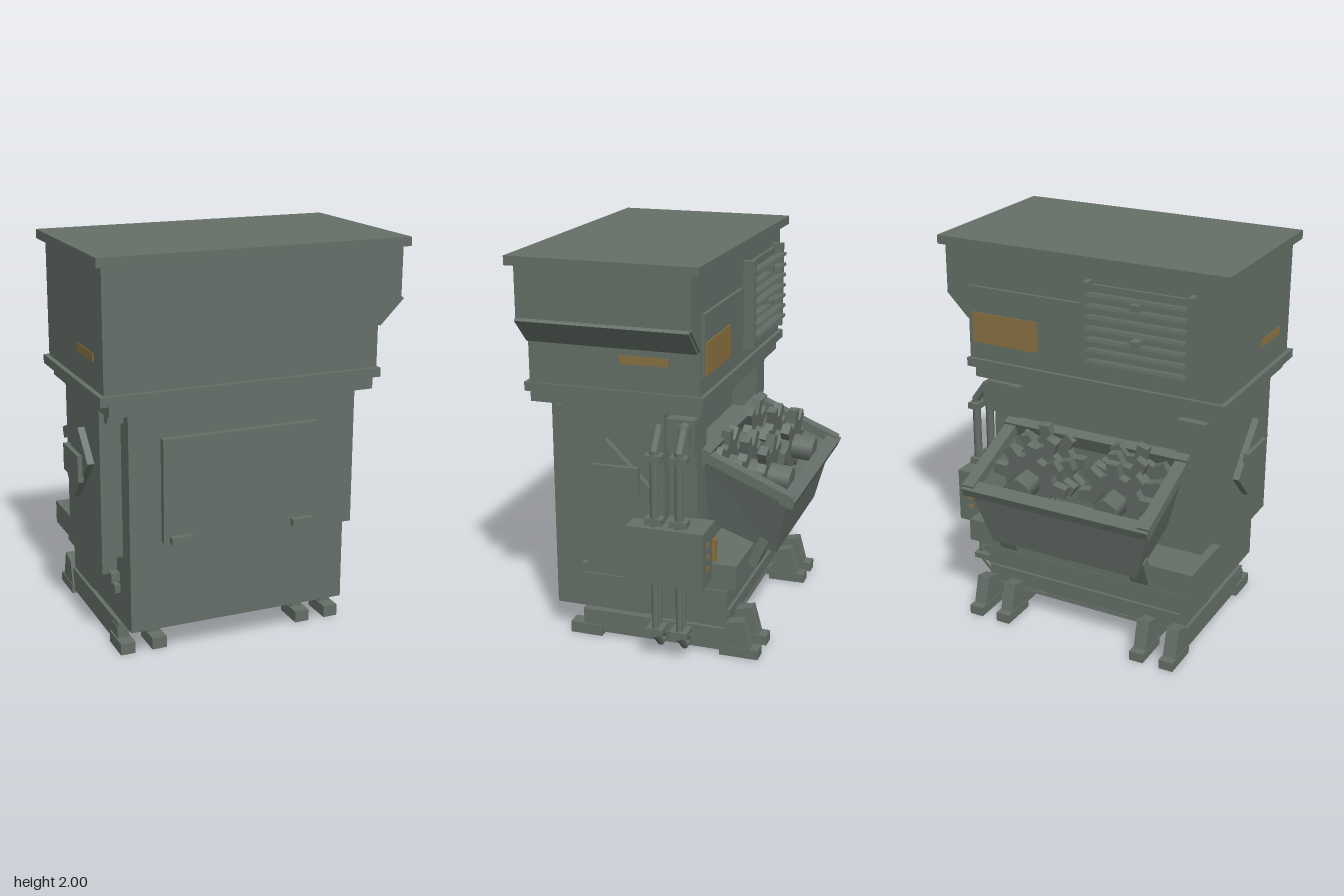
import * as THREE from 'three';

const metal = new THREE.MeshStandardMaterial({ color: 0x646e67 });
metal.name = 'grey green metal';
const metalShell = new THREE.MeshStandardMaterial({ color: 0x646e67, side: THREE.DoubleSide });
metalShell.name = 'grey green sheet';
const ochre = new THREE.MeshStandardMaterial({ color: 0x8a7140 });
ochre.name = 'ochre marking';

const CX = -0.06; // symmetry plane of the lower machine

export function createModel() {
  const root = new THREE.Group();
  root.name = 'shredderMachine';

  const add = (name, geo, mat = metal) => {
    const m = new THREE.Mesh(geo, mat);
    m.name = name;
    root.add(m);
    return m;
  };
  // box given by its limits
  const box = (name, x0, x1, y0, y1, z0, z1, mat) => {
    const m = add(name, new THREE.BoxGeometry(x1 - x0, y1 - y0, z1 - z0), mat);
    m.position.set((x0 + x1) / 2, (y0 + y1) / 2, (z0 + z1) / 2);
    return m;
  };
  // side profile of [z, y] points extruded along x
  const prism = (name, pts, x0, x1) => {
    const s = new THREE.Shape(pts.map(p => new THREE.Vector2(p[0], p[1])));
    const g = new THREE.ExtrudeGeometry(s, { depth: x1 - x0, bevelEnabled: false });
    g.rotateY(-Math.PI / 2).translate(x1, 0, 0);
    return add(name, g);
  };
  // straight pipe pieces along a path
  const pipe = (name, pts, r) => {
    for (let i = 0; i + 1 < pts.length; i++) {
      const a = new THREE.Vector3(...pts[i]), b = new THREE.Vector3(...pts[i + 1]);
      const d = b.clone().sub(a);
      const m = add(name, new THREE.CylinderGeometry(r, r, d.length() + r * 0.5, 8));
      m.position.copy(a).add(b).multiplyScalar(0.5);
      m.quaternion.setFromUnitVectors(new THREE.Vector3(0, 1, 0), d.normalize());
    }
  };

  // upper housing with undercut on one side
  const head = new THREE.Shape([[-0.76, 1.36], [0.645, 1.36], [0.645, 1.58], [0.77, 1.70], [0.77, 1.96], [-0.76, 1.96]]
    .map(p => new THREE.Vector2(...p)));
  add('upperHousing', new THREE.ExtrudeGeometry(head, { depth: 0.865, bevelEnabled: false }).translate(0, 0, -0.245));
  const under = box('undercutPlate', 0.626, 0.802, 1.63, 1.648, -0.235, 0.622);
  under.rotation.z = Math.PI / 4;
  box('lid', -0.795, 0.79, 1.955, 2, -0.285, 0.66);
  box('upperFlange', -0.785, 0.655, 1.32, 1.365, -0.265, 0.645);
  box('lowerFlange', -0.74, 0.62, 1.26, 1.32, -0.24, 0.63);
  box('sideStripLeft', 0.64, 0.649, 1.495, 1.535, -0.09, 0.155, ochre);
  box('sideStripRight', -0.764, -0.755, 1.495, 1.535, 0.24, 0.485, ochre);

  // rear vent and access panel
  box('ventBacking', -0.61, -0.06, 1.45, 1.86, -0.262, -0.24);
  for (const x of [-0.625, -0.075]) box('ventPost', x, x + 0.03, 1.43, 1.88, -0.305, -0.24);
  for (let i = 0; i < 7; i++) {
    const y = 1.485 + i * 0.056;
    box('ventSlat', -0.6, -0.07, y - 0.008, y + 0.008, -0.325, -0.255).rotation.x = 0.2;
  }
  box('ventCatch', -0.36, -0.31, 1.6, 1.63, -0.325, -0.25);
  box('ventCatch', -0.36, -0.31, 1.78, 1.81, -0.325, -0.25);
  box('rearPanel', 0.0, 0.63, 1.45, 1.755, -0.262, -0.24);
  box('rearPlate', 0.235, 0.61, 1.46, 1.62, -0.268, -0.26, ochre);

  // main body
  box('frontCabinet', -0.63, 0.51, 0.15, 1.26, -0.05, 0.57);
  box('rearBase', -0.63, 0.51, 0.13, 0.51, -0.34, 0);
  box('sideBody', -0.735, 0.615, 0.51, 1.26, -0.055, 0.465);
  box('shelf', -0.705, 0.585, 0.39, 0.51, -0.41, 0.37);
  box('shelfLip', -0.675, 0.55, 0.36, 0.405, -0.37, 0.415);
  box('sideRail', -0.66, 0.53, 0.302, 0.345, -0.35, 0.42);
  box('rearRail', -0.62, 0.5, 0.2, 0.235, -0.355, -0.3);
  box('basePlate', -0.645, 0.53, 0.12, 0.14, -0.345, 0.42);
  box('rearWall', -0.6, 0.48, 0.5, 0.98, -0.195, -0.04);
  for (const s of [-1, 1]) {
    const a = CX + s * 0.45, b = CX + s * 0.6;
    box('rearPost', Math.min(a, b), Math.max(a, b), 0.5, 1.22, -0.195, -0.04);
    const c = CX + s * 0.56, d = CX + s * 0.65;
    box('cornerTab', Math.min(c, d), Math.max(c, d), 1.195, 1.245, 0.4, 0.51);
    // tilted side plate with a small cover
    const plate = box('diamondPlate', -0.0175, 0.0175, -0.1025, 0.1025, -0.172, 0.172);
    plate.position.set(CX + s * 0.692, 0.92, 0.187);
    plate.rotation.x = -Math.PI / 4;
    const cover = box('sideCover', -0.015, 0.015, -0.068, 0.068, -0.118, 0.118);
    cover.position.set(CX + s * 0.717, 0.92, 0.178);
  }

  // front door and hinges
  box('frontDoor', -0.47, 0.345, 0.6, 1.12, 0.56, 0.605);
  for (const x of [-0.44, 0.2]) box('doorHinge', x, x + 0.11, 0.6, 0.635, 0.6, 0.635);

  // skids and feet
  for (const s of [-1, 1]) for (const o of [0.395, 0.56]) {
    const x = CX + s * o, w = 0.038;
    box('frontFoot', x - w, x + w, 0, 0.06, 0.32, 0.49);
    box('frontFootBlock', x - 0.03, x + 0.03, 0.05, 0.12, 0.32, 0.42);
    box('skid', x - 0.025, x + 0.025, 0.02, 0.125, -0.35, 0.4);
    box('rearFoot', x - w, x + w, 0, 0.05, -0.51, -0.31);
    prism('rearLeg', [[-0.47, 0.045], [-0.31, 0.045], [-0.345, 0.175], [-0.43, 0.195]], x - 0.034, x + 0.034);
  }
  // sloped belly with ribs
  prism('belly', [[0.4, 0.13], [-0.35, 0.13], [0.09, 0.012]], -0.42, 0.295);
  for (const x of [-0.325, 0.16]) prism('bellyRib', [[0.44, 0.14], [-0.35, 0.14], [0.09, 0.004]], x, x + 0.05);

  // feed hopper: four flared walls and a floor
  const top = [[-0.56, 0.985, -0.19], [0.435, 0.985, -0.19], [0.435, 0.8, -0.615], [-0.56, 0.8, -0.615]];
  const bottom = [[-0.47, 0.63, -0.19], [0.35, 0.63, -0.19], [0.35, 0.505, -0.545], [-0.47, 0.505, -0.545]];
  const pos = [];
  const quad = (a, b, c, d) => pos.push(...a, ...b, ...c, ...a, ...c, ...d);
  for (let i = 0; i < 4; i++) {
    const j = (i + 1) % 4;
    quad(top[i], top[j], bottom[j], bottom[i]);
  }
  quad(...bottom);
  const shell = new THREE.BufferGeometry();
  shell.setAttribute('position', new THREE.Float32BufferAttribute(pos, 3));
  shell.computeVertexNormals();
  add('hopperWalls', shell, metalShell);
  // hopper rim
  const tilt = -0.395;
  for (const x of [-0.552, 0.425]) {
    const m = box('hopperSideRim', -0.032, 0.032, -0.024, 0.024, -0.25, 0.25);
    m.position.set(x, 0.92, -0.412);
    m.rotation.x = tilt;
  }
  const lip = box('hopperOuterRim', -0.5175, 0.5175, -0.024, 0.024, -0.035, 0.035);
  lip.position.set(-0.0625, 0.82, -0.622);
  lip.rotation.x = tilt;
  box('hopperInnerRim', -0.585, 0.46, 0.965, 1.045, -0.225, -0.17).rotation.x = tilt;
  for (const s of [-1, 1]) {
    const m = box('hopperLeg', -0.05, 0.05, -0.08, 0.08, -0.025, 0.025);
    m.position.set(CX + s * 0.38, 0.5, -0.455);
    m.rotation.x = -0.4;
  }

  // toothed shredder discs on two shafts
  const disc = new THREE.Shape();
  const teeth = 8;
  for (let i = 0; i < teeth; i++) {
    for (const [f, r] of [[0, 0.14], [0.12, 0.21], [0.48, 0.205], [0.62, 0.14]]) {
      const a = (i + f) / teeth * Math.PI * 2;
      if (i + f === 0) disc.moveTo(r, 0);
      else disc.lineTo(r * Math.cos(a), r * Math.sin(a));
    }
  }
  const discGeo = new THREE.ExtrudeGeometry(disc, { depth: 0.045, bevelEnabled: false }).translate(0, 0, -0.0225);
  [-0.31, 0.18].forEach((x, k) => {
    [-0.225, -0.335, -0.44].forEach((z, i) => {
      const m = add('shredderDisc', discGeo);
      m.position.set(x, 0.86 + (z + 0.335) * 0.1, z);
      m.rotation.set(-0.1, 0, (i * 0.25 + k * 0.35) * (k ? -1 : 1));
    });
    const hub = add('shredderShaft', new THREE.CylinderGeometry(0.07, 0.07, 0.38, 6).rotateX(Math.PI / 2));
    hub.position.set(x, 0.855, -0.385);
    hub.rotation.x = -0.1;
  });

  // control box, pipes and collars
  box('controlBox', 0.53, 0.73, 0.425, 0.715, -0.285, 0.105);
  box('statusBar', 0.55, 0.578, 0.52, 0.635, -0.302, -0.28, ochre);
  for (let i = 0; i < 3; i++) box('statusLight', 0.64, 0.67, 0.5 + i * 0.06, 0.525 + i * 0.06, -0.29, -0.28, ochre);
  for (const [z, x] of [[-0.027, 0.685], [-0.152, 0.685]]) {
    pipe('upperPipe', [[0.59, 1.2, z], [0.62, 1.18, z], [x, 1.09, z], [x, 0.7, z]], 0.022);
    box('pipeElbow', 0.5, 0.62, 1.1, 1.205, z - 0.028, z + 0.028);
    for (const y of [1.06, 0.74]) box('pipeCollar', 0.65, 0.71, y - 0.016, y + 0.016, z - 0.044, z + 0.044);
    for (const [px, py] of [[0.637, 0.08], [0.685, 0.06]]) {
      pipe('lowerPipe', [[px, 0.45, z], [px, 0.14, z], [px - 0.08, py, z], [0.5, py, z]], 0.018);
    }
    box('lowerCollar', 0.615, 0.71, 0.145, 0.175, z - 0.044, z + 0.044);
  }
  box('pipeBracket', 0.45, 0.58, 1.06, 1.225, -0.195, -0.05);

  return root;
}
